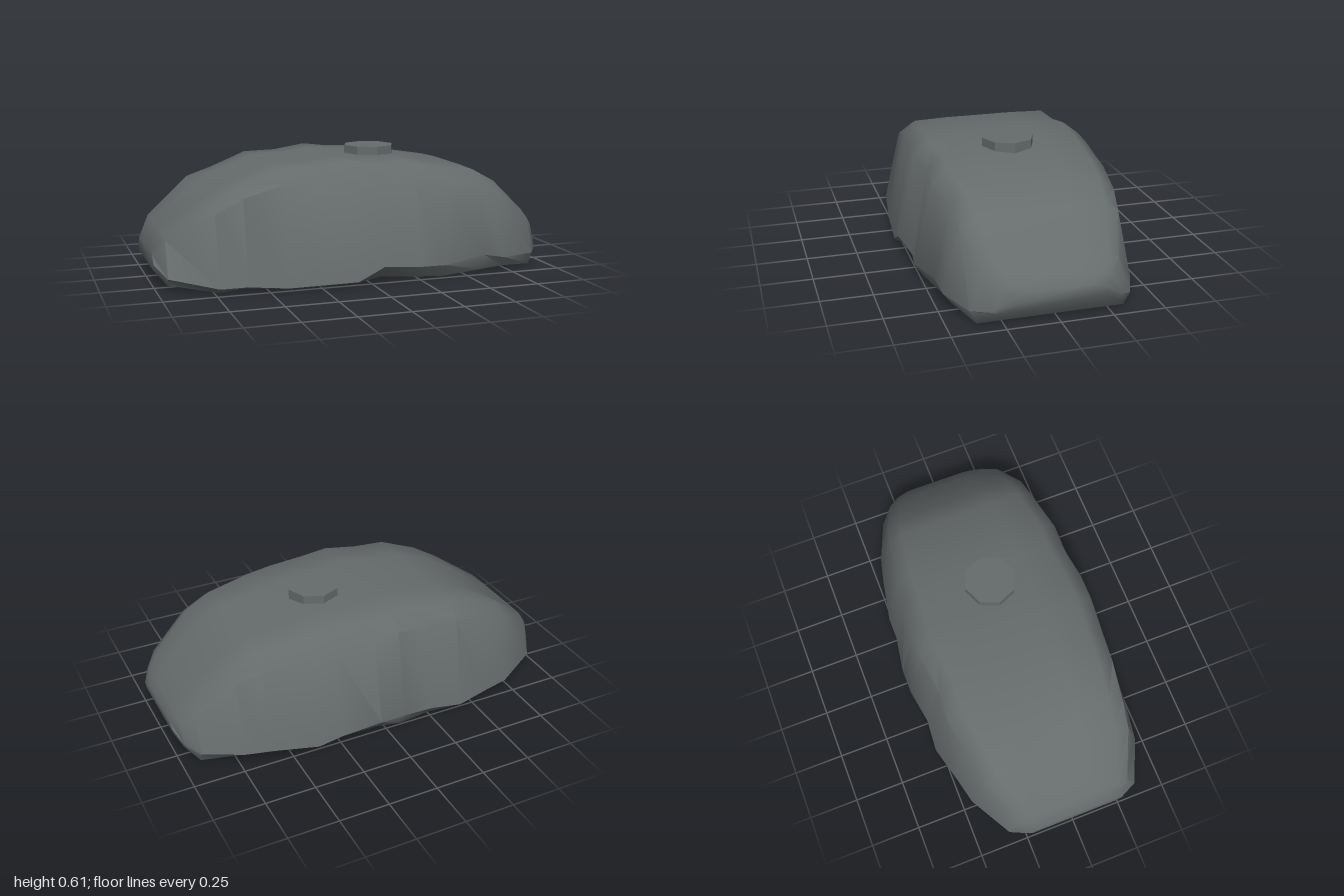
import * as THREE from 'three';
import { toCreasedNormals } from 'three/addons/utils/BufferGeometryUtils.js';

// Stations along x: x, top, bottom, front rim height, back rim height, front z, back z, back shoulder lift
const STATIONS = [
  [-1.0, 0.17, 0.09, 0.12, 0.12, 0.26, -0.24, 0],
  [-0.95, 0.27, 0.035, 0.07, 0.07, 0.36, -0.33, 0],
  [-0.73, 0.415, 0.005, 0.03, 0.04, 0.465, -0.45, 0.035],
  [-0.6, 0.49, 0.02, 0.035, 0.04, 0.485, -0.48, 0],
  [-0.41, 0.56, 0.008, 0.02, 0.04, 0.51, -0.53, 0],
  [-0.25, 0.565, 0.01, 0.025, 0.06, 0.525, -0.518, 0],
  [-0.08, 0.588, 0.015, 0.03, 0.09, 0.54, -0.547, 0],
  [0.05, 0.572, 0.038, 0.095, 0.09, 0.543, -0.547, 0],
  [0.25, 0.57, 0.015, 0.072, 0.05, 0.512, -0.515, 0],
  [0.37, 0.545, 0.012, 0.075, 0.03, 0.528, -0.515, 0],
  [0.6, 0.51, 0.018, 0.1, 0.05, 0.482, -0.47, 0],
  [0.72, 0.445, 0.025, 0.075, 0.05, 0.47, -0.44, 0],
  [0.91, 0.275, 0.006, 0.07, 0.06, 0.395, -0.36, 0],
  [0.97, 0.21, 0.065, 0.08, 0.09, 0.31, -0.29, 0],
  [1.0, 0.17, 0.12, 0.14, 0.14, 0.22, -0.22, 0],
];

// One closed ring, from the front underside over the top to the back underside
function section([x, top, bottom, rimF, rimB, zf, zb, lift]) {
  const h = top - bottom;
  const flat = top - 0.01 * h, shoulder = top - 0.12 * h;
  return [
    [x, bottom, zf * 0.92], [x, rimF, zf],
    [x, shoulder, zf * 0.83], [x, flat, zf * 0.68],
    [x, top, zf * 0.35], [x, top, zb * 0.35],
    [x, flat + lift, zb * 0.68], [x, shoulder + lift, zb * 0.83],
    [x, rimB, zb], [x, bottom, zb * 0.92],
  ];
}

// Skin the rings and close both ends
function loft(rings) {
  const n = rings[0].length, last = (rings.length - 1) * n;
  const index = [];
  for (let i = 0; i < rings.length - 1; i++) {
    for (let j = 0; j < n; j++) {
      const a = i * n + j, b = i * n + ((j + 1) % n);
      index.push(a, a + n, b, a + n, b + n, b);
    }
  }
  for (let j = 1; j < n - 1; j++) {
    index.push(0, j, j + 1);
    index.push(last, last + j + 1, last + j);
  }
  const geometry = new THREE.BufferGeometry();
  geometry.setAttribute('position', new THREE.Float32BufferAttribute(rings.flat(2), 3));
  geometry.setIndex(index);
  return toCreasedNormals(geometry, 0.75);
}

export function createModel() {
  const group = new THREE.Group();
  group.name = 'fuelTank';
  const grey = new THREE.MeshStandardMaterial({ color: 0x666b6c });
  grey.name = 'tankGrey';

  // Tank shell
  const body = new THREE.Mesh(loft(STATIONS.map(section)), grey);
  body.name = 'tankBody';

  // Octagonal filler cap
  const cap = new THREE.Mesh(toCreasedNormals(new THREE.CylinderGeometry(0.13, 0.13, 0.06, 8), 0.5), grey);
  cap.name = 'fillerCap';
  cap.position.set(0.16, 0.583, 0);

  group.add(body, cap);
  return group;
}
